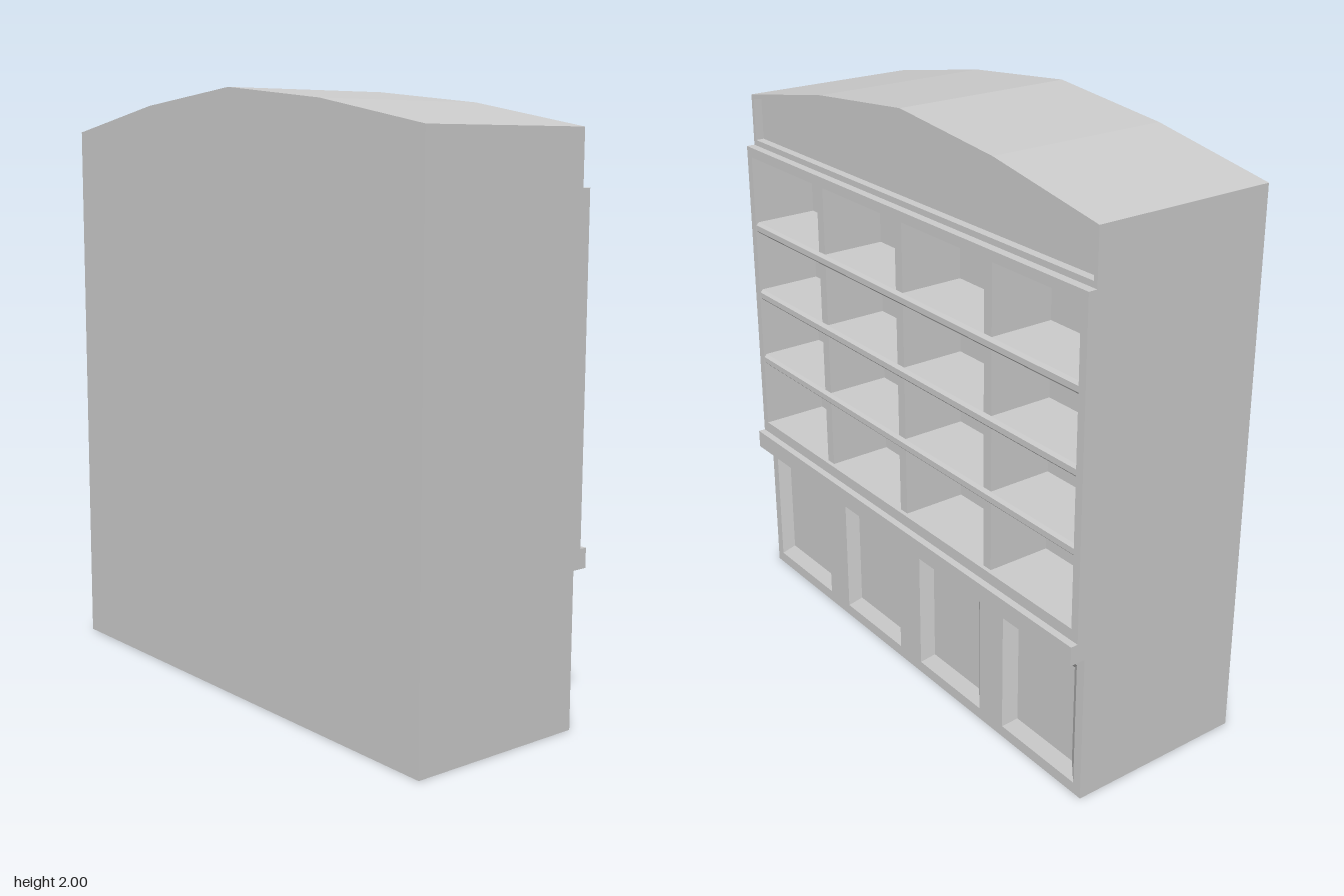
import * as THREE from 'three';

const material = new THREE.MeshStandardMaterial({ color: 0xcccccc, flatShading: true });

// Built facing +z, then turned to face +x at the end.
const toPath = (points, Type = THREE.Shape) => new Type(points.map(([x, y]) => new THREE.Vector2(x, y)));
const rect = (x0, x1, y0, y1) => [[x0, y0], [x1, y0], [x1, y1], [x0, y1]];

export function createModel() {
  const cabinet = new THREE.Group();
  cabinet.name = 'cabinet';

  const add = (name, geometry) => {
    const mesh = new THREE.Mesh(geometry, material);
    mesh.name = name;
    cabinet.add(mesh);
    return mesh;
  };
  // Flat layer between two depths, with optional holes
  const layer = (name, points, z0, z1, holes = []) => {
    const shape = toPath(points);
    shape.holes = holes.map((h) => toPath(h, THREE.Path));
    const geometry = new THREE.ExtrudeGeometry(shape, { depth: z1 - z0, bevelEnabled: false });
    return add(name, geometry.translate(0, 0, z0));
  };
  const box = (name, x0, x1, y0, y1, z0, z1) =>
    add(name, new THREE.BoxGeometry(x1 - x0, y1 - y0, z1 - z0)
      .translate((x0 + x1) / 2, (y0 + y1) / 2, (z0 + z1) / 2));

  const back = -0.35, shelfBack = 0.08, recess = 0.26, front = 0.29, frameFront = 0.32;
  const outline = [[-0.92, 0], [0.92, 0], [0.92, 1.87], [0.46, 1.953], [0, 2], [-0.46, 1.953], [-0.92, 1.87]];
  const pediment = [[-0.905, 1.71], [0.905, 1.71], [0.905, 1.857], [0.46, 1.94], [0, 1.986], [-0.46, 1.94], [-0.905, 1.857]];
  const opening = rect(-0.89, 0.89, 0.62, 1.655);
  const doors = [[-0.886, -0.525], [-0.403, -0.062], [0.062, 0.403], [0.525, 0.886]];
  const doorY = [0.04, 0.477];

  // Carcass, hollowed in steps towards the front
  layer('carcassBack', outline, back, shelfBack);
  layer('carcassMiddle', outline, shelfBack, recess, [opening]);
  layer('carcassFront', outline, recess, front,
    [opening, pediment, ...doors.map(([a, b]) => rect(a, b, ...doorY))]);

  // Raised frame round the shelves, and the ledge below it
  layer('shelfFrame', rect(-0.92, 0.92, 0.58, 1.69), front, frameFront, [opening]);
  box('ledge', -0.92, 0.92, 0.515, 0.58, front, 0.345);

  // Sloped border inside each door panel
  const inset = 0.043;
  for (const [a, b] of doors) {
    const outer = rect(a, b, ...doorY);
    const inner = rect(a + inset, b - inset, doorY[0] + inset, doorY[1] - inset);
    const positions = [];
    for (let i = 0; i < 4; i++) {
      const j = (i + 1) % 4;
      const p = [...outer[i], front], q = [...outer[j], front];
      const r = [...inner[j], recess], s = [...inner[i], recess];
      positions.push(...p, ...q, ...r, ...p, ...r, ...s);
    }
    const geometry = new THREE.BufferGeometry();
    geometry.setAttribute('position', new THREE.Float32BufferAttribute(positions, 3));
    geometry.computeVertexNormals();
    add('doorPanelBorder', geometry);
  }

  // Upright dividers
  for (const x of [-0.462, 0, 0.462])
    box('divider', x - 0.019, x + 0.019, 0.62, 1.655, shelfBack, 0.306);

  // Shelves with a chamfered nose
  for (const y of [0.88, 1.137, 1.394]) {
    const profile = toPath([
      [-shelfBack, -0.02], [-shelfBack, 0.02], [-0.308, 0.02],
      [-0.318, 0.01], [-0.318, -0.01], [-0.308, -0.02],
    ]);
    const geometry = new THREE.ExtrudeGeometry(profile, { depth: 1.78, bevelEnabled: false });
    geometry.rotateY(Math.PI / 2).translate(-0.89, y, 0);
    add('shelf', geometry);
  }

  cabinet.rotation.y = Math.PI / 2;
  const model = new THREE.Group();
  model.name = 'bookcase';
  model.add(cabinet);
  return model;
}
